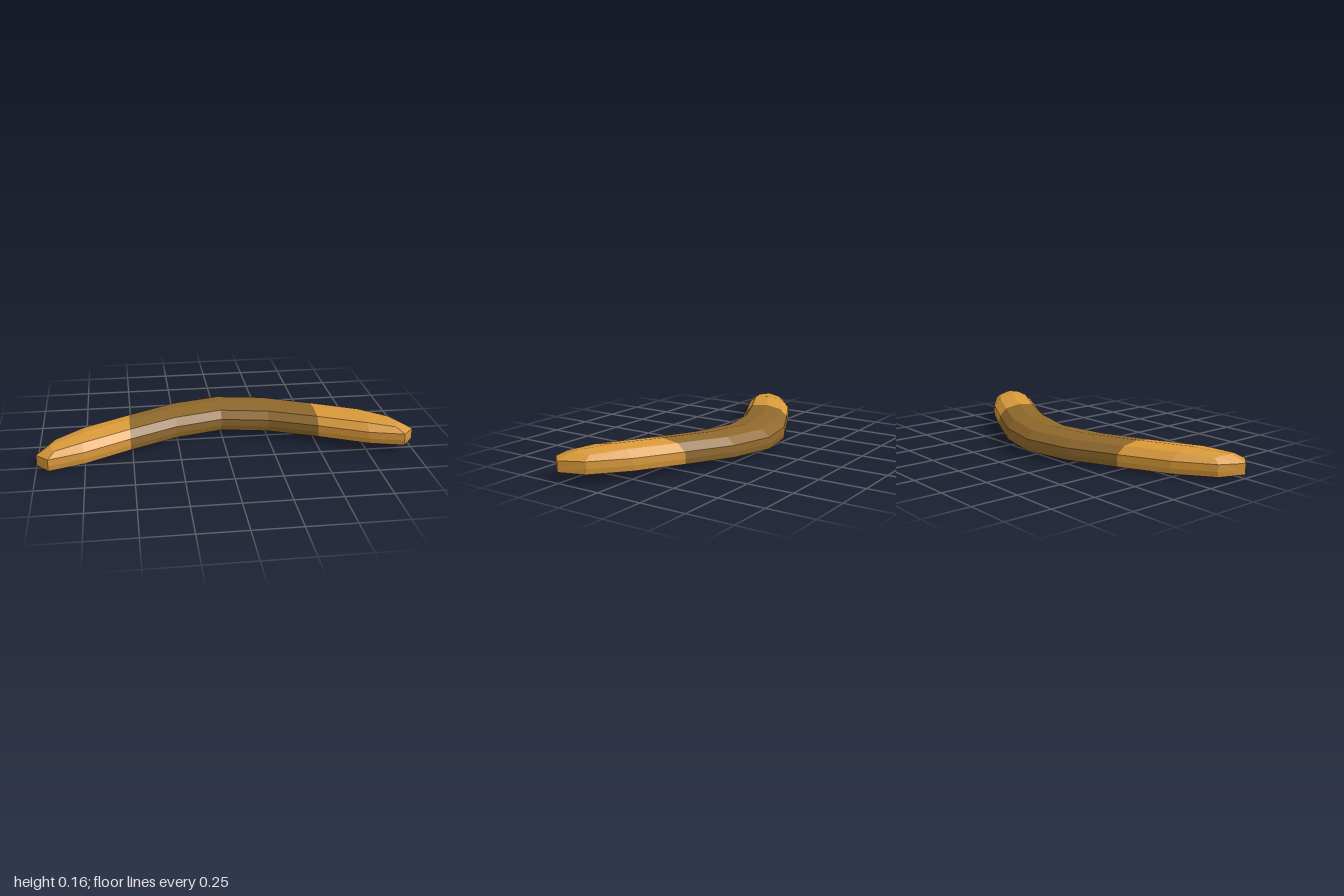
import * as THREE from 'three';

// Stations along one arm: x, outer edge z, inner edge z
const ARM = [
  [0, -0.327, -0.03],
  [0.255, -0.272, 0.028],
  [0.51, -0.145, 0.145],
  [0.755, -0.015, 0.272],
  [0.935, 0.125, 0.327],
  [0.997, 0.255, 0.255],
];
// Cross-section loop: side (-1 outer, 0 middle, 1 inner), inset from the edge, height
const SECTION = [
  [-1, 0, 0.056], [-1, 0.004, 0.091], [-1, 0.05, 0.129], [0, 0, 0.143],
  [1, 0.046, 0.129], [1, 0.004, 0.091], [1, 0, 0.056], [1, 0.004, 0.027],
  [1, 0.046, 0.017], [0, 0, 0.013], [-1, 0.05, 0.017], [-1, 0.004, 0.027],
];
const TILT = 0.018;

// One ring of the body; station runs -5 (right tip) to 5 (left tip)
function ring(station) {
  const i = Math.abs(station), dir = Math.sign(station);
  const [x, outer, inner] = ARM[i];
  return SECTION.map(([side, inset, h]) => {
    let px = x, y = h;
    let z = side === 0 ? (outer + inner) / 2 : side < 0 ? outer + inset : inner - inset;
    if (i === 4) { // rounded shoulder before the tip
      if (y > 0.1) y -= side ? 0.012 : 0.017;
      if (inset > 0.01) {
        px -= 0.035;
        if (side < 0) z = outer + 0.01;
      } else if (side === 0) px -= 0.01;
    }
    if (i === 5) { // tip closes to a short upright edge
      z = outer;
      y = THREE.MathUtils.clamp(h, 0.032, 0.09);
    }
    return new THREE.Vector3(px * dir, y + TILT * px * dir, z);
  });
}

// Skin the rings between two stations with flat facets
function section(name, from, to, color) {
  const pos = [];
  const tri = (a, b, c) => {
    const area = b.clone().sub(a).cross(c.clone().sub(a)).length();
    if (area > 1e-7) pos.push(...a.toArray(), ...b.toArray(), ...c.toArray());
  };
  for (let s = from; s < to; s++) {
    const p = ring(s), q = ring(s + 1), n = p.length;
    for (let j = 0; j < n; j++) {
      const k = (j + 1) % n;
      if (s < 0) {
        tri(p[j], p[k], q[k]);
        tri(p[j], q[k], q[j]);
      } else {
        tri(p[j], p[k], q[j]);
        tri(p[k], q[k], q[j]);
      }
    }
  }
  const geo = new THREE.BufferGeometry();
  geo.setAttribute('position', new THREE.Float32BufferAttribute(pos, 3));
  geo.computeVertexNormals();
  const mesh = new THREE.Mesh(geo, new THREE.MeshStandardMaterial({ color, flatShading: true }));
  mesh.name = name;
  return mesh;
}

export function createModel() {
  const group = new THREE.Group();
  group.name = 'boomerang';
  group.add(
    section('rightTip', -5, -2, 0xd9993a),
    section('middleBend', -2, 2, 0x8f682c),
    section('leftTip', 2, 5, 0xd9993a),
  );
  return group;
}
